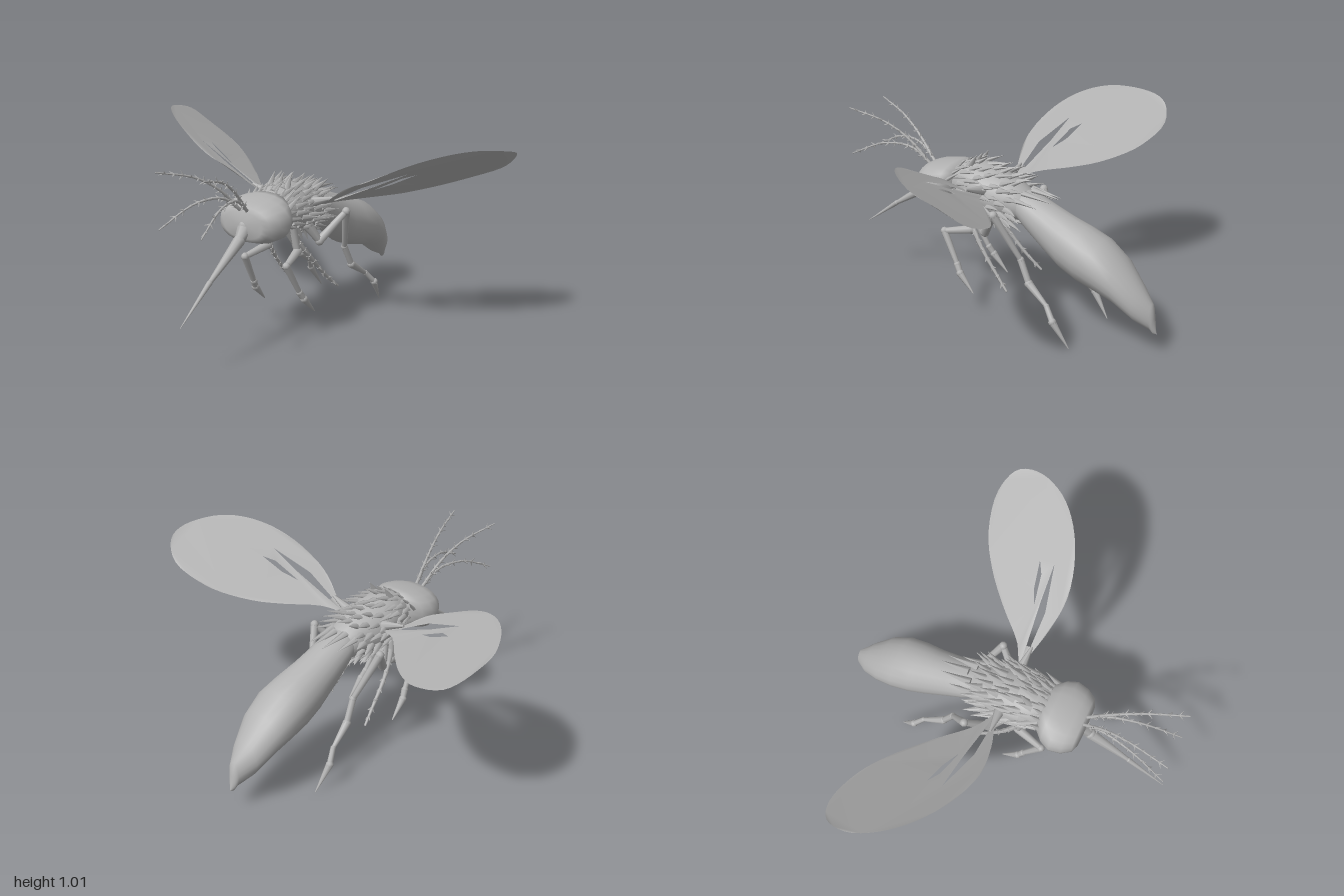
import * as THREE from 'three';
import { mergeGeometries } from 'three/addons/utils/BufferGeometryUtils.js';

const V = (x, y, z) => new THREE.Vector3(x, y, z);
const grey = new THREE.MeshStandardMaterial({ color: 0xb2b2b2, side: THREE.DoubleSide });
grey.name = 'grey';

// small seeded random generator
let seed = 7;
const rnd = () => (seed = (seed * 16807) % 2147483647) / 2147483647;

function add(parent, name, geometry) {
  const mesh = new THREE.Mesh(geometry, grey);
  mesh.name = name;
  parent.add(mesh);
  return mesh;
}

// body skin through cross-sections [z, centre y, half width, half height], front to back
function loft(sections, sides = 20, power = 1) {
  const pos = [], index = [];
  const round = (v) => Math.sign(v) * Math.abs(v) ** power;
  sections.forEach(([z, y, rx, ry], i) => {
    for (let j = 0; j < sides; j++) {
      const a = (j / sides) * Math.PI * 2;
      pos.push(rx * round(Math.cos(a)), y + ry * round(Math.sin(a)), z);
      if (i === sections.length - 1) continue;
      const k = (j + 1) % sides, p = i * sides;
      index.push(p + j, p + sides + j, p + k, p + k, p + sides + j, p + sides + k);
    }
  });
  const g = new THREE.BufferGeometry();
  g.setAttribute('position', new THREE.Float32BufferAttribute(pos, 3));
  g.setIndex(index);
  g.computeVertexNormals();
  return g;
}

// tapered rod between two points, optionally flattened
function rod(a, b, r0, r1, sides = 7, flat = 1) {
  const d = b.clone().sub(a);
  const g = new THREE.CylinderGeometry(r1, r0, d.length(), sides, 1);
  g.scale(1, 1, flat);
  g.applyQuaternion(new THREE.Quaternion().setFromUnitVectors(V(0, 1, 0), d.clone().normalize()));
  const m = a.clone().add(b).multiplyScalar(0.5);
  return g.translate(m.x, m.y, m.z);
}

// jointed limb: points [x, y, z, radius], mirrored by side
function limb(points, side) {
  const parts = [];
  points.forEach(([x, y, z, r], i) => {
    const p = V(x * side, y, z);
    const next = points[i + 1];
    if (!next) return;
    parts.push(new THREE.SphereGeometry(r, 8, 6).translate(p.x, p.y, p.z));
    parts.push(rod(p, V(next[0] * side, next[1], next[2]), r * 0.95, next[3] * 0.75, 8));
  });
  return mergeGeometries(parts);
}

// slender stalk along a curve with little paired barbs
function barbed(points, side, r, count, barb) {
  const curve = new THREE.CatmullRomCurve3(points.map(([x, y, z]) => V(x * side, y, z)));
  const parts = [];
  for (let i = 0; i < count; i++) {
    const a = curve.getPoint(i / count), b = curve.getPoint((i + 1) / count);
    const t = 1 - 0.6 * (i / count);
    parts.push(rod(a, b, r * t, r * t * 0.7, 6));
    if (i === 0) continue;
    const dir = b.clone().sub(a).normalize();
    const out = V(0, 1, 0).cross(dir).normalize().applyAxisAngle(dir, i * 1.1);
    for (const s of [-1, 1]) {
      const tip = a.clone().addScaledVector(dir, barb * 0.8).addScaledVector(out, s * barb);
      parts.push(rod(a, tip, r * 0.6, 0.0005, 4));
    }
  }
  return mergeGeometries(parts);
}

const thoraxSections = [
  [0.26, 0.66, 0.08, 0.08], [0.2, 0.665, 0.12, 0.1], [0.13, 0.66, 0.135, 0.12],
  [0.05, 0.64, 0.14, 0.13], [-0.03, 0.62, 0.13, 0.125], [-0.1, 0.62, 0.11, 0.1],
  [-0.18, 0.6, 0.085, 0.075], [-0.22, 0.59, 0.03, 0.03],
];

// point on the thorax and its outward direction
function onThorax(z, angle) {
  let i = 0;
  while (i < thoraxSections.length - 2 && thoraxSections[i + 1][0] > z) i++;
  const a = thoraxSections[i], b = thoraxSections[i + 1];
  const t = (a[0] - z) / (a[0] - b[0]);
  const [y, rx, ry] = [1, 2, 3].map((k) => a[k] + (b[k] - a[k]) * t);
  return [V(Math.cos(angle) * rx * 0.95, y + Math.sin(angle) * ry * 0.95, z),
    V(Math.cos(angle), Math.sin(angle), 0)];
}

// overlapping leaf-shaped scales sweeping backwards
function scales() {
  const parts = [];
  for (let row = 0; row < 8; row++) {
    for (let j = 0; j < 14; j++) {
      const angle = ((j + (row % 2) / 2 + rnd() * 0.4) / 14) * Math.PI * 2;
      const [p, out] = onThorax(0.21 - row * 0.045, angle);
      const len = 0.07 + rnd() * 0.035;
      const tip = p.clone().addScaledVector(out, 0.015 + rnd() * 0.035);
      tip.z -= len;
      parts.push(rod(p, tip, 0.022, 0.001, 5, 0.6));
    }
  }
  // longer scales lying over the root of the abdomen
  for (const [x, y, z, len] of [[0, 0.69, -0.2, 0.15], [0.045, 0.68, -0.17, 0.16],
    [-0.045, 0.68, -0.17, 0.16], [0.08, 0.65, -0.14, 0.13], [-0.08, 0.65, -0.14, 0.13]]) {
    parts.push(rod(V(x, y, z), V(x, y - 0.02, z - len), 0.022, 0.001, 5, 0.6));
  }
  return mergeGeometries(parts);
}

// thin wing with two slits, tilted and lightly crumpled
function wing(side) {
  const path = (pts) => new THREE.CatmullRomCurve3(pts.map(([x, z]) => V(x, z, 0)), true)
    .getPoints(pts.length * 4).slice(0, -1).map((p) => new THREE.Vector2(p.x, p.y));
  const shape = new THREE.Shape(path([[0.12, 0.02], [0.24, -0.05], [0.38, -0.19], [0.54, -0.33],
    [0.7, -0.425], [0.89, -0.46], [0.98, -0.41], [1, -0.3], [0.94, -0.16], [0.83, -0.04],
    [0.67, 0.055], [0.49, 0.1], [0.33, 0.08], [0.2, 0.035]]));
  for (const slit of [[[0.24, 0], [0.24, 0.022], [0.4, 0.025], [0.62, -0.028], [0.45, -0.02]],
    [[0.42, -0.045], [0.5, -0.08], [0.62, -0.105], [0.56, -0.07]]]) {
    shape.holes.push(new THREE.Path(slit.map(([x, z]) => new THREE.Vector2(x, z))));
  }
  const g = new THREE.ShapeGeometry(shape);
  const p = g.attributes.position;
  for (let i = 0; i < p.count; i++) {
    const x = p.getX(i), z = p.getY(i);
    const root = 0.04 * Math.max(0, 1 - x / 0.45);
    const y = 0.55 + 0.555 * x + 0.39 * z + root + 0.006 * Math.sin(x * 17 + z * 23);
    p.setXYZ(i, x * side, Math.min(y, 1.01), z);
  }
  // keep faces turned upward on both sides
  if (side > 0) g.index.array.reverse();
  g.computeVertexNormals();
  return g;
}

export function createModel() {
  const model = new THREE.Group();
  model.name = 'insect';

  add(model, 'abdomen', loft([
    [-0.06, 0.62, 0.02, 0.02], [-0.1, 0.635, 0.08, 0.06], [-0.2, 0.58, 0.1, 0.095],
    [-0.3, 0.52, 0.108, 0.118], [-0.4, 0.465, 0.12, 0.135], [-0.5, 0.428, 0.135, 0.138],
    [-0.6, 0.395, 0.14, 0.13], [-0.7, 0.34, 0.125, 0.11], [-0.8, 0.25, 0.085, 0.09],
    [-0.87, 0.195, 0.035, 0.068], [-0.885, 0.15, 0.02, 0.04], [-0.9, 0.115, 0.001, 0.003]]));
  add(model, 'thorax', loft(thoraxSections));
  add(model, 'thoraxScales', scales());

  // head: broad, slightly boxy, with bulging sides
  add(model, 'head', loft([
    [0.435, 0.64, 0.002, 0.002], [0.43, 0.64, 0.11, 0.065], [0.415, 0.64, 0.145, 0.085],
    [0.37, 0.64, 0.175, 0.1], [0.31, 0.645, 0.188, 0.105], [0.26, 0.655, 0.165, 0.1],
    [0.215, 0.665, 0.12, 0.09], [0.2, 0.665, 0.02, 0.02]], 20, 0.85));
  // ragged collar and crown tufts between head and thorax
  const tufts = [];
  for (let i = 0; i < 9; i++) {
    const x = -0.12 + i * 0.03;
    const y = 0.76 - x * x * 3;
    tufts.push(rod(V(x, y - 0.03, 0.24), V(x * 1.15, y + 0.025, 0.15 + rnd() * 0.04), 0.02, 0.001, 5, 0.6));
  }
  for (const x of [-0.05, 0, 0.05]) {
    tufts.push(rod(V(x, 0.75, 0.15), V(x, 0.825, 0.1), 0.022, 0.001, 5));
  }
  add(model, 'collarTufts', mergeGeometries(tufts));

  add(model, 'proboscis', limb([[0, 0.63, 0.4, 0.045], [0, 0.57, 0.46, 0.03],
    [0, 0.43, 0.68, 0.014], [0, 0.28, 0.89, 0.002]], 1));

  for (const side of [1, -1]) {
    const label = side > 0 ? 'left' : 'right';
    add(model, label + 'Wing', wing(side));
    add(model, label + 'WingRoot', rod(V(0.1 * side, 0.67, 0.02), V(0.24 * side, 0.715, 0.03), 0.03, 0.006, 8));
    add(model, label + 'UpperAntenna', barbed([[0.02, 0.71, 0.42], [0.045, 0.83, 0.54],
      [0.08, 0.91, 0.67], [0.135, 0.965, 0.86]], side, 0.01, 13, 0.022));
    add(model, label + 'LowerAntenna', barbed([[0.02, 0.71, 0.42], [0.04, 0.785, 0.52],
      [0.075, 0.79, 0.68], [0.12, 0.71, 0.87]], side, 0.01, 13, 0.022));
    add(model, label + 'FrontLeg', limb([[0.07, 0.57, 0.13, 0.028], [0.09, 0.44, 0.11, 0.024],
      [0.125, 0.41, 0.255, 0.02], [0.14, 0.25, 0.165, 0.018], [0.15, 0.21, 0.14, 0.02],
      [0.155, 0.12, 0.055, 0.004]], side));
    add(model, label + 'MiddleLeg', barbed([[0.06, 0.56, 0.15], [0.1, 0.46, 0.09],
      [0.125, 0.37, 0.02], [0.14, 0.27, -0.07], [0.16, 0.19, -0.155]], side, 0.018, 10, 0.02));
    add(model, label + 'HindLeg', limb([[0.1, 0.56, 0.04, 0.03], [0.14, 0.47, -0.01, 0.024],
      [0.225, 0.61, -0.12, 0.022], [0.15, 0.38, -0.23, 0.018], [0.16, 0.27, -0.285, 0.022],
      [0.18, 0.19, -0.4, 0.014], [0.205, 0.13, -0.45, 0.02], [0.19, 0.005, -0.535, 0.003]], side));
    // short spines hanging below the thorax
    const spines = [];
    for (let i = 0; i < 5; i++) {
      const z = 0.18 - i * 0.045;
      spines.push(rod(V(0.07 * side, 0.57, z), V(0.085 * side, 0.47 + rnd() * 0.03, z - 0.03), 0.018, 0.002, 5));
    }
    add(model, label + 'UndersideSpines', mergeGeometries(spines));
  }
  return model;
}
